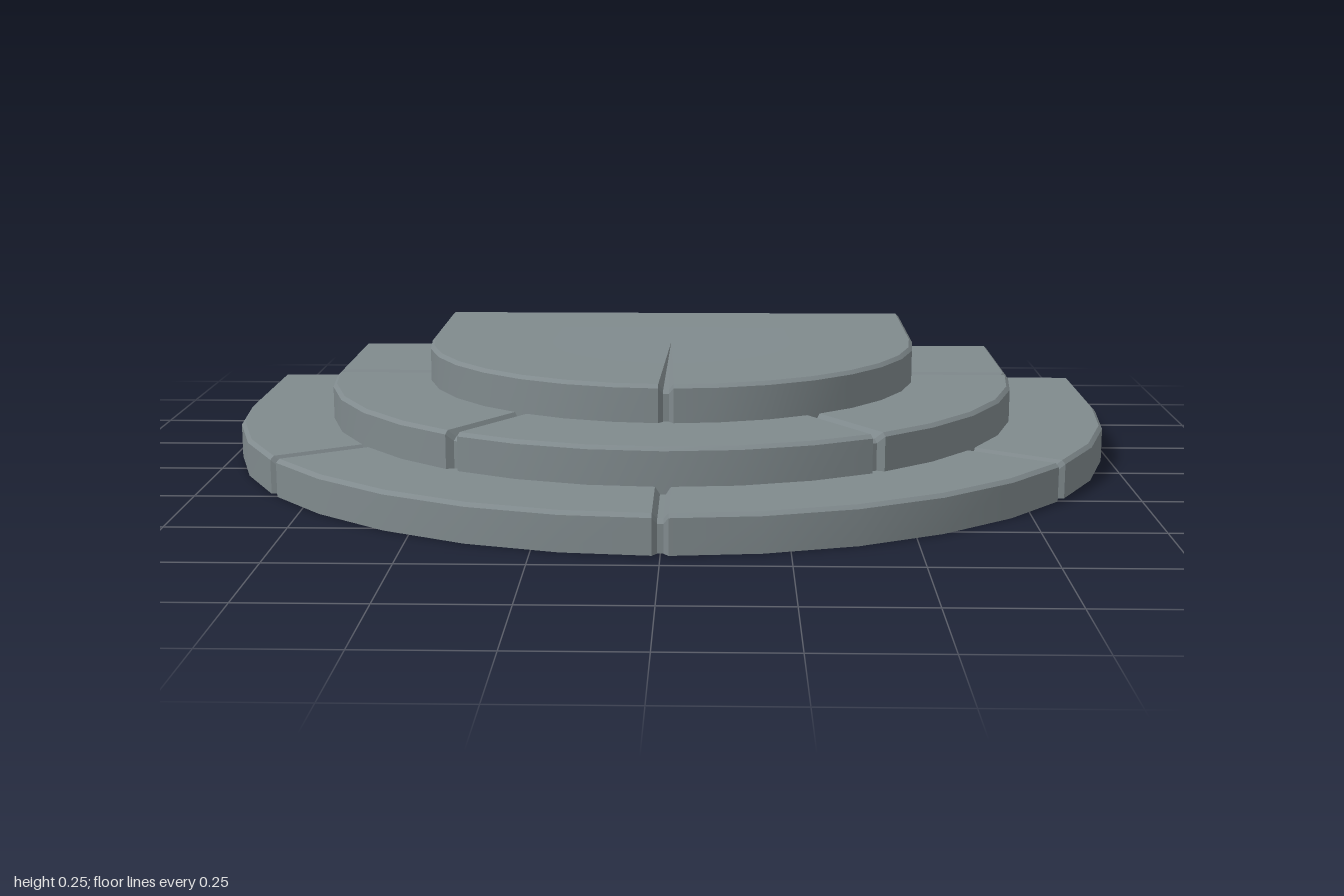
import * as THREE from 'three';
import { toCreasedNormals } from 'three/addons/utils/BufferGeometryUtils.js';

const CENTRE_Z = -0.315, BACK_Z = -0.685, STRAIGHT = CENTRE_Z - BACK_Z;
const SEGMENTS = 16, BEVEL = 0.008, OVERLAP = 0.03;
// joint cross-section: [sideways offset, depth]
const JOINT = [[-0.016, 0], [-0.006, 0.015], [0.006, 0.015], [0.016, 0]];

const TIERS = [
  { name: 'bottomStep', radius: 1, inner: 0.75, y0: 0, y1: 0.082, joints: [3, 8, 13] },
  { name: 'middleStep', radius: 0.79, inner: 0.53, y0: 0.082, y1: 0.163, joints: [0, 5, 11, 16] },
  { name: 'topStep', radius: 0.565, inner: 0, y0: 0.163, y1: 0.245, joints: [8] },
];

// stations around the D-shaped outline: angle, offset along the tangent, joint depth
function outlineStations(joints) {
  const list = [{ angle: 0, t: -STRAIGHT, depth: 0 }];
  for (let i = 0; i <= SEGMENTS; i++) {
    const angle = (i / SEGMENTS) * Math.PI;
    if (joints.includes(i)) JOINT.forEach(([t, depth]) => list.push({ angle, t, depth }));
    else list.push({ angle, t: 0, depth: 0 });
  }
  list.push({ angle: Math.PI, t: STRAIGHT, depth: 0 });
  return list;
}

// riser, bevel and tread section at one station
function section({ angle, t, depth }, tier) {
  const c = Math.cos(angle), s = Math.sin(angle);
  const at = (r, y) => new THREE.Vector3(c * r - s * t, y, s * r + c * t + CENTRE_Z);
  const r = tier.radius - depth, y = tier.y1 - depth;
  const inner = tier.inner ? at(tier.inner, y) : new THREE.Vector3(0, tier.y1, -0.265);
  return [at(r, Math.max(0, tier.y0 - OVERLAP)), at(r, y - BEVEL), at(r - BEVEL, y), inner];
}

function stepSurface(tier, sections) {
  const positions = [];
  const triangle = (a, b, c) => {
    if (new THREE.Triangle(a, b, c).getArea() > 1e-9) {
      for (const p of [a, b, c]) positions.push(p.x, p.y, p.z);
    }
  };
  for (let i = 0; i < sections.length - 1; i++) {
    const p = sections[i], q = sections[i + 1];
    for (let j = 0; j < 3; j++) {
      triangle(p[j], p[j + 1], q[j]);
      triangle(q[j], p[j + 1], q[j + 1]);
    }
  }
  // the full platform also reaches the back edge
  if (!tier.inner) triangle(sections.at(-1)[2], sections[0][3], sections[0][2]);
  const geometry = new THREE.BufferGeometry();
  geometry.setAttribute('position', new THREE.Float32BufferAttribute(positions, 3));
  return toCreasedNormals(geometry, 0.35);
}

// flat wall closing the step at the back
function backWall({ radius: r, y0, y1 }) {
  const shape = new THREE.Shape([
    [-r, y0], [r, y0], [r, y1 - BEVEL], [r - BEVEL, y1], [BEVEL - r, y1], [-r, y1 - BEVEL],
  ].map(([x, y]) => new THREE.Vector2(x, y)));
  return new THREE.ShapeGeometry(shape).rotateY(Math.PI).translate(0, 0, BACK_Z);
}

export function createModel() {
  const model = new THREE.Group();
  model.name = 'roundedSteps';
  const stone = new THREE.MeshStandardMaterial({ color: 0x808a8d });
  const add = (parent, name, geometry) => {
    const mesh = new THREE.Mesh(geometry, stone);
    mesh.name = name;
    parent.add(mesh);
  };

  for (const tier of TIERS) {
    const step = new THREE.Group();
    step.name = tier.name;
    const sections = outlineStations(tier.joints).map((station) => section(station, tier));
    add(step, 'treadAndRiser', stepSurface(tier, sections));
    add(step, 'backWall', backWall(tier));
    // underside follows the outline of the lowest step
    if (tier.y0 === 0) {
      const outline = new THREE.Shape(sections.map(([p]) => new THREE.Vector2(p.x, p.z)));
      add(step, 'underside', new THREE.ShapeGeometry(outline).rotateX(Math.PI / 2));
    }
    model.add(step);
  }
  return model;
}
